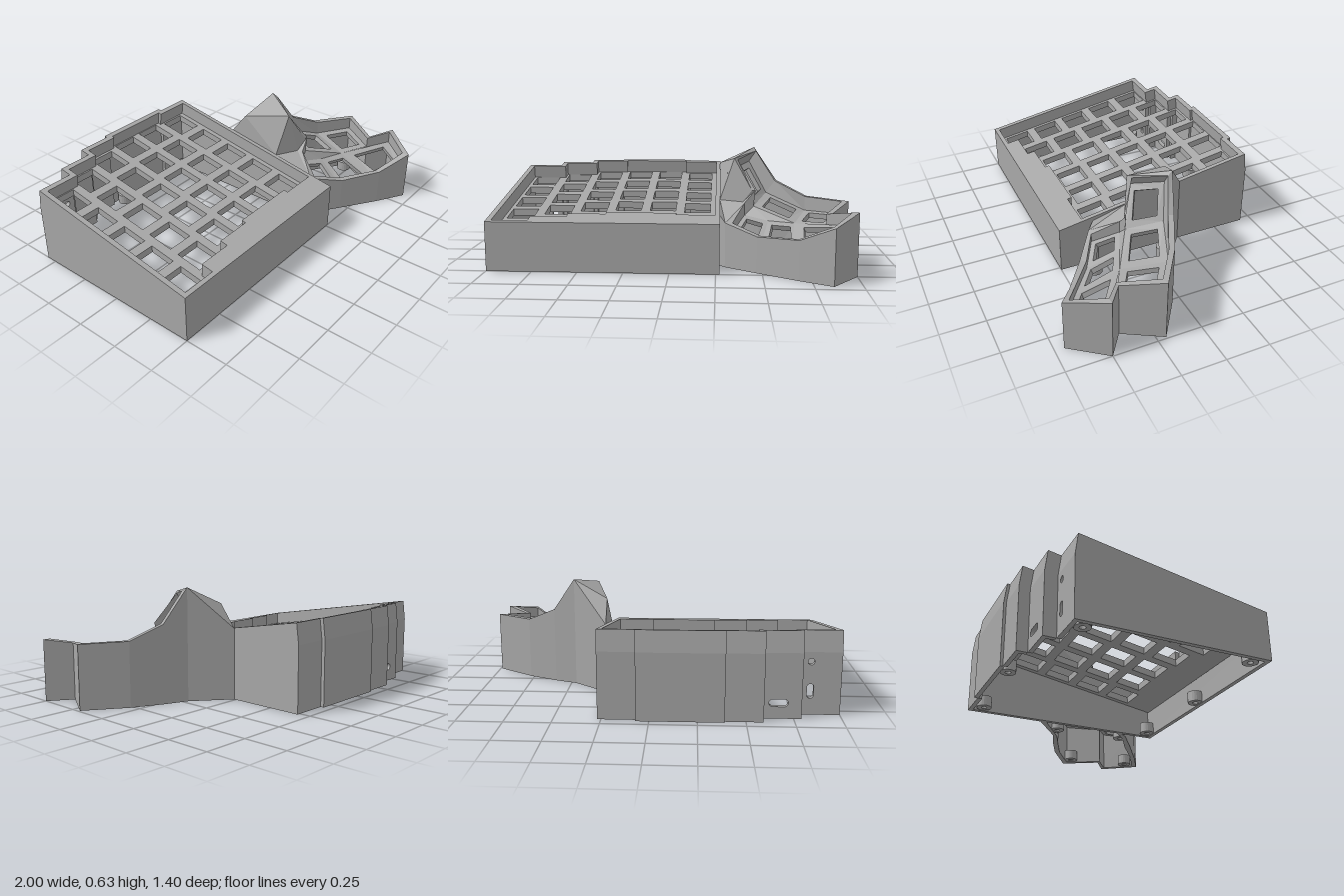
import * as THREE from 'three';

const grey = new THREE.MeshStandardMaterial({ color: 0xa8a8a8, side: THREE.DoubleSide });
grey.name = 'matte grey';

const topY = z => 0.36 - 0.173 * z; // sloping top plane of the main case
const CAP = 0.115;                  // depth of the rim band
const WALL = 0.025;

// Case outline as [x, z]: back steps, right side, front, left side
const outline = [[-1, -0.56], [-0.79, -0.56], [-0.79, -0.63], [-0.59, -0.63], [-0.59, -0.69], [-0.39, -0.69],
  [-0.39, -0.705], [0.07, -0.705], [0.07, -0.685], [0.27, -0.685], [0.27, 0.5], [-1, 0.5]];
const opening = [[-0.97, -0.53], [-0.76, -0.53], [-0.76, -0.6], [-0.56, -0.6], [-0.56, -0.66], [-0.36, -0.66],
  [-0.36, -0.675], [0.04, -0.675], [0.04, -0.655], [0.245, -0.655], [0.245, 0.36], [0.03, 0.36], [0.03, 0.335],
  [-0.36, 0.335], [-0.36, 0.36], [-0.57, 0.36], [-0.57, 0.405], [-0.77, 0.405], [-0.77, 0.475], [-0.97, 0.475]];

const toPath = (pts, Type = THREE.Path) => new Type(pts.map(([x, z]) => new THREE.Vector2(x, -z)));

function addMesh(parent, name, geometry) {
  const mesh = new THREE.Mesh(geometry, grey);
  mesh.name = name;
  parent.add(mesh);
  return mesh;
}

// Plan shape with holes, extruded between two offsets below the sloping top
function slab(pts, holes, low, high, backLean = 0) {
  const shape = toPath(pts, THREE.Shape);
  shape.holes = holes.map(h => toPath(h));
  const g = new THREE.ExtrudeGeometry(shape, { depth: 1, bevelEnabled: false });
  const p = g.attributes.position;
  for (let i = 0; i < p.count; i++) {
    const z = -p.getY(i), up = p.getZ(i) > 0.5;
    p.setXYZ(i, p.getX(i), topY(z) - (up ? high : low), z + (up && z < -0.5 ? backLean : 0));
  }
  g.computeVertexNormals();
  return g;
}

// Upright wall panel from p to q, thickened inwards
function panel(p, q, holes) {
  const dx = q[0] - p[0], dz = q[1] - p[1], L = Math.hypot(dx, dz);
  const shape = new THREE.Shape([[0, 0], [L, 0], [L, topY(q[1]) - CAP], [0, topY(p[1]) - CAP]]
    .map(a => new THREE.Vector2(...a)));
  shape.holes = holes;
  const g = new THREE.ExtrudeGeometry(shape, { depth: WALL, bevelEnabled: false });
  const m = new THREE.Matrix4().makeBasis(new THREE.Vector3(dx / L, 0, dz / L),
    new THREE.Vector3(0, 1, 0), new THREE.Vector3(-dz / L, 0, dx / L));
  return g.applyMatrix4(m.setPosition(p[0], 0, p[1]));
}

// Rounded slot for the ports
function slot(cx, cy, w, h) {
  const r = Math.min(w, h) / 2, a = w / 2 - r, b = h / 2 - r, path = new THREE.Path();
  path.absarc(cx + a, cy + b, r, 0, Math.PI / 2);
  path.absarc(cx - a, cy + b, r, Math.PI / 2, Math.PI);
  path.absarc(cx - a, cy - b, r, Math.PI, Math.PI * 1.5);
  path.absarc(cx + a, cy - b, r, Math.PI * 1.5, Math.PI * 2);
  path.closePath();
  return path;
}

// Flat-faced surface from polygons given as corner lists
function faces(polys) {
  const out = [];
  for (const f of polys) for (let i = 1; i < f.length - 1; i++) out.push(...f[0], ...f[i], ...f[i + 1]);
  const g = new THREE.BufferGeometry();
  g.setAttribute('position', new THREE.Float32BufferAttribute(out, 3));
  g.computeVertexNormals();
  return g;
}

// Quads joining two rows of points
const strip = (a, b, closed) => a.slice(0, closed ? a.length : -1).map((p, i) => {
  const j = (i + 1) % a.length;
  return [p, a[j], b[j], b[i]];
});
const add = (a, b) => a.map((v, i) => v + b[i]);
const ground = p => [p[0], 0, p[2]];

// One key cell: a thick quad with a square hole
function keyCell(c) {
  const v = c.map(p => new THREE.Vector3(...p));
  const n = v[2].clone().sub(v[0]).cross(v[3].clone().sub(v[1])).normalize();
  if (n.y < 0) n.negate();
  const at = (s, t) => v[0].clone().lerp(v[1], s).lerp(v[3].clone().lerp(v[2], s), t).toArray();
  const lo = 0.17, hi = 0.83, drop = n.multiplyScalar(-0.03).toArray();
  const hole = [at(lo, lo), at(hi, lo), at(hi, hi), at(lo, hi)];
  const under = hole.map(p => add(p, drop)), base = c.map(p => add(p, drop));
  return faces([...strip(c, hole, true), ...strip(hole, under, true), ...strip(under, base, true)]);
}

function buildMainCase() {
  const g = new THREE.Group();
  g.name = 'mainCase';
  const ports = { 0: [slot(0.16, 0.29, 0.035, 0.035), slot(0.16, 0.13, 0.035, 0.08)], 2: [slot(0.12, 0.085, 0.1, 0.04)] };
  outline.forEach((p, i) => addMesh(g, 'caseWall', panel(p, outline[(i + 1) % outline.length], ports[i] || [])));
  addMesh(g, 'caseRim', slab(outline, [opening], CAP, 0, 0.015));
  // Staggered columns of square key holes
  const firstRow = [-0.444, -0.512, -0.566, -0.588, -0.59, -0.565], holes = [], h = 0.075;
  firstRow.forEach((z0, c) => {
    for (let r = 0; r < 5; r++) {
      const x = -0.875 + c * 0.203, z = z0 + r * 0.2015;
      holes.push([[x - h, z - h], [x + h, z - h], [x + h, z + h], [x - h, z + h]]);
    }
  });
  addMesh(g, 'keyPlate', slab(opening, holes, CAP, 0.075));
  return g;
}

function buildThumbCluster() {
  const g = new THREE.Group();
  g.name = 'thumbCluster';
  // Rim corner, inset to the opening, drop to the key plate
  const rows = [
    [[0.47, 0.63, -0.08], [0.01, -0.02, 0.03], [-0.04, -0.06, 0]],
    [[0.6, 0.44, -0.03], [-0.01, 0, 0.03], [-0.05, -0.07, 0]],
    [[0.77, 0.36, 0.05], [-0.01, 0, 0.03], [0, -0.08, 0]],
    [[0.99, 0.355, 0.2], [-0.04, 0, 0.01], [0, -0.07, 0]],
    [[0.87, 0.32, 0.41], [-0.03, 0, 0], [0, -0.06, 0]],
    [[1, 0.345, 0.5], [-0.04, 0, 0], [0, -0.07, 0]],
    [[0.85, 0.3, 0.7], [-0.005, 0, -0.04], [0, -0.06, 0]],
    [[0.68, 0.215, 0.6], [0, 0, -0.03], [0, -0.05, 0]],
    [[0.47, 0.2, 0.46], [0.02, 0, -0.03], [0, -0.05, 0]],
    [[0.3, 0.25, 0.34], [0.04, 0, 0], [0, -0.05, 0]],
    [[0.4, 0.34, 0.17], [0.01, 0, 0.03], [0, -0.07, 0]],
    [[0.45, 0.41, 0.19], [0.02, 0, 0], [-0.01, -0.09, 0]],
    [[0.35, 0.585, 0.13], [0.02, -0.01, -0.02], [-0.04, -0.06, 0]],
  ];
  const rim = rows.map(r => r[0]), lip = rows.map(r => add(r[0], r[1]));
  const floor = rows.map((r, i) => add(lip[i], r[2]));
  addMesh(g, 'thumbRim', faces([...strip(rim, lip, true), ...strip(lip, floor, true)]));

  // Skirt walls with thickness, running back to the main case
  const backJoin = [0.27, 0.4, -0.24], frontJoin = [0.27, 0.285, 0.3];
  const outer = [backJoin, ...rim.slice(0, 10), frontJoin];
  const inner = [[0.27, 0.38, -0.2], ...floor.slice(0, 10), [0.27, 0.23, 0.27]];
  const innerFoot = [[0.27, 0, -0.2], ...lip.slice(0, 10).map(ground), [0.27, 0, 0.27]];
  addMesh(g, 'thumbSkirt', faces([...strip(outer, outer.map(ground)),
    ...strip(outer.map(ground), innerFoot), ...strip(innerFoot, inner)]));

  // Shoulder that blends the raised key into the case
  const peak = [0.27, 0.53, -0.14], low = [0.27, 0.34, 0.1];
  const [A, D, B, n0, f0] = [rim[0], rim[11], rim[12], rim[10], rim[9]];
  addMesh(g, 'thumbShoulder', faces([[backJoin, A, peak], [peak, A, B], [peak, B, low], [B, D, n0, low],
    [low, n0, f0, frontJoin], [backJoin, peak, low]]));

  // Two rows of three keys
  const [a, b1, b2, b3, N, n3, f3, f2, f1, f0f, n0f, d, b] = floor;
  const m2 = [0.68, 0.25, 0.32], m1 = [0.54, 0.25, 0.26];
  [[a, b1, d, b], [b1, b2, m2, d], [b2, b3, N, m2], [n0f, m1, f1, f0f], [m1, m2, f2, f1], [m2, n3, f3, f2]]
    .forEach(c => addMesh(g, 'thumbKeyPlate', keyCell(c)));
  addMesh(g, 'thumbPlateBridge', faces([[d, m2, m1], [d, m1, n0f]]));
  return g;
}

export function createModel() {
  const model = new THREE.Group();
  model.name = 'splitKeyboardCase';
  model.add(buildMainCase(), buildThumbCluster());
  // Screw bosses at the foot of the walls
  const profile = [[0.016, 0], [0.042, 0], [0.042, 0.06], [0.016, 0.06], [0.016, 0]].map(p => new THREE.Vector2(...p));
  const bossGeometry = new THREE.LatheGeometry(profile, 20).toNonIndexed();
  bossGeometry.computeVertexNormals();
  for (const [x, z] of [[-0.93, -0.49], [-0.93, 0.42], [-0.32, -0.64], [0.2, -0.61], [-0.36, 0.45], [0.2, 0.44],
    [0.9, 0.22], [0.84, 0.6], [0.36, 0.33], [0.38, -0.09]]) {
    addMesh(model, 'screwBoss', bossGeometry).position.set(x, 0.003, z);
  }
  return model;
}
